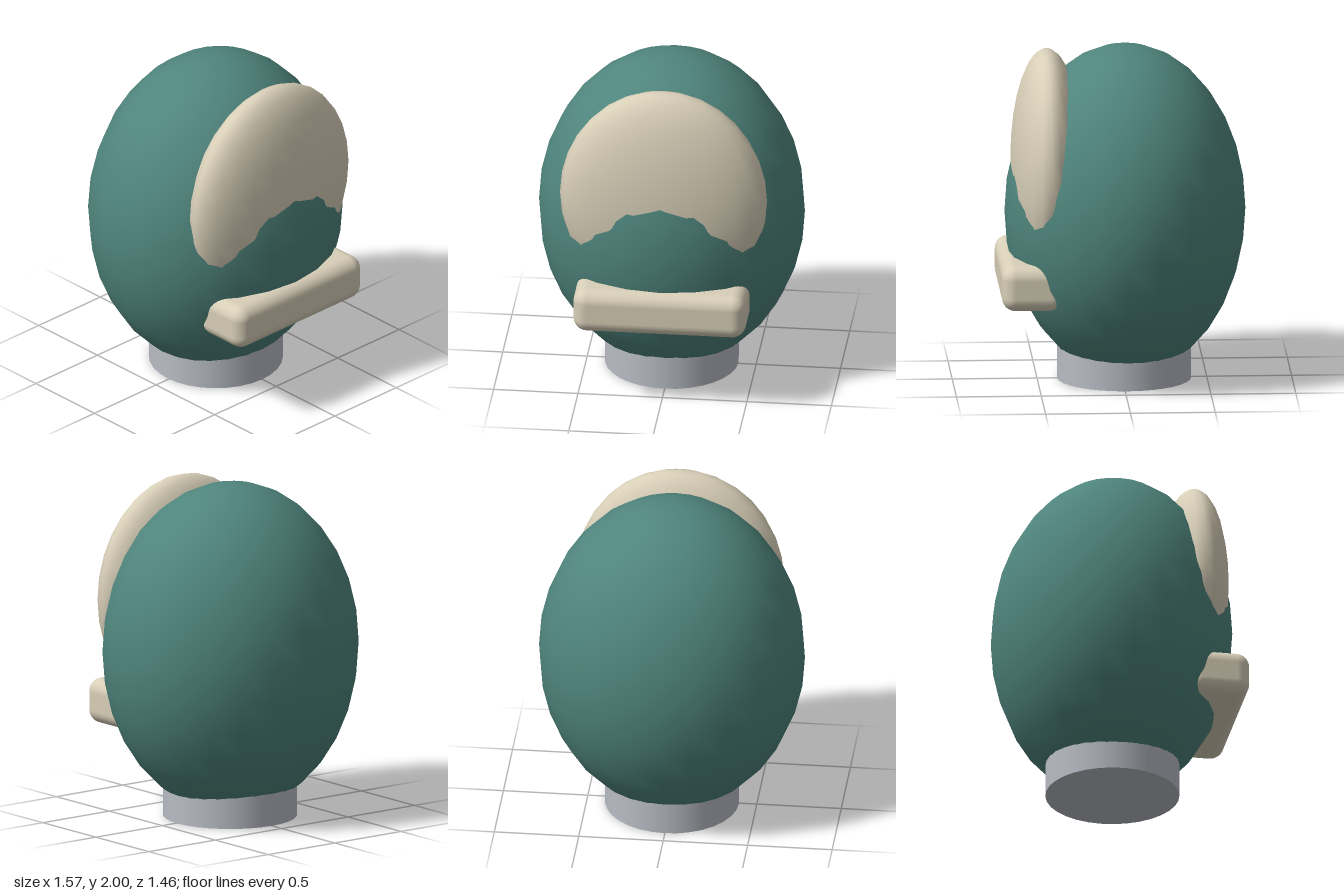
import * as THREE from 'three';
import { RoundedBoxGeometry } from 'three/addons/geometries/RoundedBoxGeometry.js';

const flat = (name, color) => {
  const m = new THREE.MeshStandardMaterial({ color });
  m.name = name;
  return m;
};

export function createModel() {
  const teal = flat('teal shell', 0x4f857d);
  const cream = flat('cream trim', 0xd8cfb8);
  const grey = flat('grey neck', 0xb8bcc4);
  const model = new THREE.Group();
  model.name = 'helmetHead';

  const add = (name, geometry, material, x, y, z) => {
    const mesh = new THREE.Mesh(geometry, material);
    mesh.name = name;
    mesh.position.set(x, y, z);
    model.add(mesh);
    return mesh;
  };
  const ellipsoid = (rx, ry, rz) => new THREE.SphereGeometry(1, 24, 16).scale(rx, ry, rz);

  // Egg-shaped helmet shell
  add('shell', ellipsoid(0.787, 0.985, 0.71), teal, 0, 1.015, -0.018);

  // Shallow face plate sunk into the upper front
  add('facePlate', ellipsoid(0.613, 0.685, 0.217), cream, 0, 1.29, 0.44);

  // Rounded bar across the jaw
  add('jawBar', new RoundedBoxGeometry(1.02, 0.27, 0.37, 4, 0.08), cream, 0, 0.635, 0.543);

  // Neck ring
  add('neck', new THREE.CylinderGeometry(0.395, 0.395, 0.28, 32), grey, 0, 0.14, -0.013);

  return model;
}
